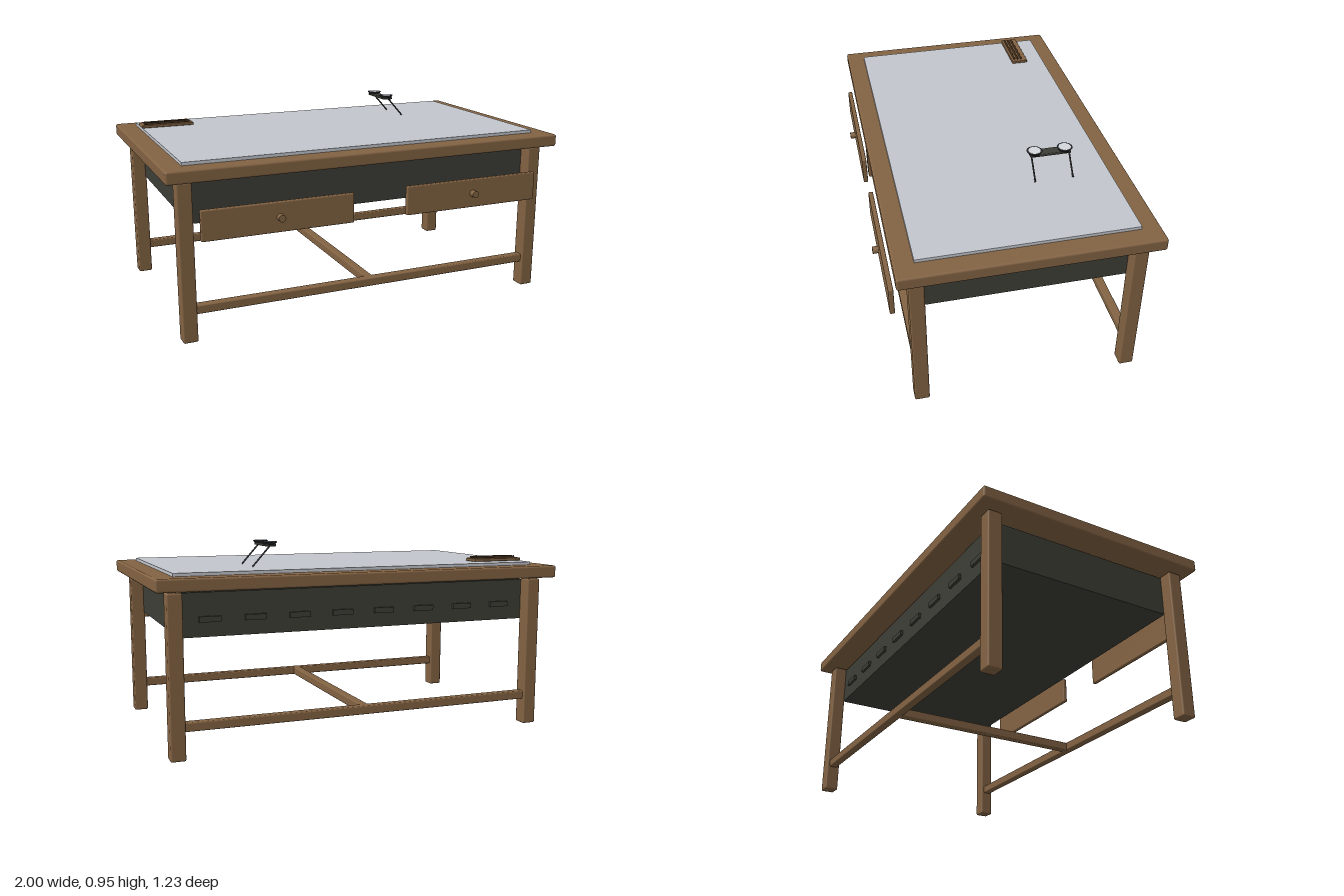
import * as THREE from 'three';
import { RoundedBoxGeometry } from 'three/addons/geometries/RoundedBoxGeometry.js';

const material = (name, color) => {
  const m = new THREE.MeshStandardMaterial({ color });
  m.name = name;
  return m;
};

export function createModel() {
  const wood = material('wood', 0x836343);
  const darkWood = material('dark wood', 0x523a24);
  const casing = material('dark casing', 0x3d3e36);
  const glass = material('glass panel', 0xc3c7cd);
  const black = material('black metal', 0x26272a);
  const lensMat = material('lens', 0xd4d8dc);

  const model = new THREE.Group();
  model.name = 'draftingTable';
  const Z = -0.025; // centre of the table, the knobs stick out in front

  const add = (name, geometry, mat, x, y, z, parent = model) => {
    const mesh = new THREE.Mesh(geometry, mat);
    mesh.name = name;
    mesh.position.set(x, y, z);
    parent.add(mesh);
    return mesh;
  };
  const box = (w, h, d) => new THREE.BoxGeometry(w, h, d);
  const rounded = (w, h, d, r) => new RoundedBoxGeometry(w, h, d, 2, r);

  // straight round bar between two points
  const rod = (name, a, b, r, mat, parent) => {
    const dir = b.clone().sub(a);
    const mid = a.clone().add(b).multiplyScalar(0.5);
    const mesh = add(name, new THREE.CylinderGeometry(r, r, dir.length(), 12), mat, mid.x, mid.y, mid.z, parent);
    mesh.quaternion.setFromUnitVectors(new THREE.Vector3(0, 1, 0), dir.normalize());
    return mesh;
  };

  // top slab and glass panel
  add('tableTop', rounded(2, 0.06, 1.18, 0.01), wood, 0, 0.785, Z);
  add('glassPanel', box(1.815, 0.02, 1), glass, 0, 0.82, Z);

  // light box below the top
  add('lightBox', box(1.76, 0.2, 0.94), casing, 0, 0.64, Z);

  // vents along the back
  for (let i = 0; i < 8; i++) {
    add('vent', box(0.1, 0.026, 0.02), casing, -0.742 + i * 0.212, 0.62, -0.498);
  }

  // legs
  for (const sx of [-1, 1]) {
    for (const sz of [-1, 1]) {
      add('leg', rounded(0.07, 0.747, 0.07, 0.008), wood, sx * 0.909, 0.3735, Z + sz * 0.501);
    }
  }

  // stretchers: long rails front and back, one cross rail between them
  for (const sz of [-1, 1]) {
    add('longRail', rounded(1.78, 0.042, 0.042, 0.006), wood, 0, 0.149, Z + sz * 0.501);
  }
  add('crossRail', rounded(0.042, 0.042, 1, 0.006), wood, 0, 0.149, Z);

  // drawer fronts with round knobs
  for (const sx of [-1, 1]) {
    const drawer = new THREE.Group();
    drawer.name = 'drawer';
    model.add(drawer);
    add('drawerFront', rounded(0.724, 0.142, 0.023, 0.006), wood, sx * 0.5, 0.567, 0.576, drawer);
    const knob = add('knob', new THREE.CylinderGeometry(0.017, 0.017, 0.032, 20), wood, sx * 0.5, 0.567, 0.6, drawer);
    knob.rotation.x = Math.PI / 2;
  }

  // tray with three pens
  const tray = new THREE.Group();
  tray.name = 'penTray';
  model.add(tray);
  add('trayBase', rounded(0.27, 0.015, 0.088, 0.004), wood, -0.775, 0.8375, -0.39, tray);
  for (const z of [-0.362, -0.381, -0.4]) {
    rod('pen', new THREE.Vector3(-0.892, 0.85, z), new THREE.Vector3(-0.658, 0.85, z), 0.005, darkWood, tray);
  }

  // two-lens magnifier on slanted legs
  const magnifier = new THREE.Group();
  magnifier.name = 'magnifier';
  model.add(magnifier);
  add('magnifierBar', rounded(0.05, 0.013, 0.195, 0.004), casing, 0.407, 0.931, -0.25, magnifier);
  for (const s of [-1, 1]) {
    const z = -0.25 + s * 0.073;
    add('eyepiece', new THREE.CylinderGeometry(0.037, 0.027, 0.014, 28), black, 0.407, 0.94, z, magnifier);
    add('lens', new THREE.CylinderGeometry(0.029, 0.029, 0.004, 28), lensMat, 0.407, 0.9465, z, magnifier);
    const legZ = -0.252 + s * 0.091;
    rod('magnifierLeg', new THREE.Vector3(0.412, 0.928, legZ), new THREE.Vector3(0.497, 0.833, legZ), 0.004, black, magnifier);
  }

  return model;
}
